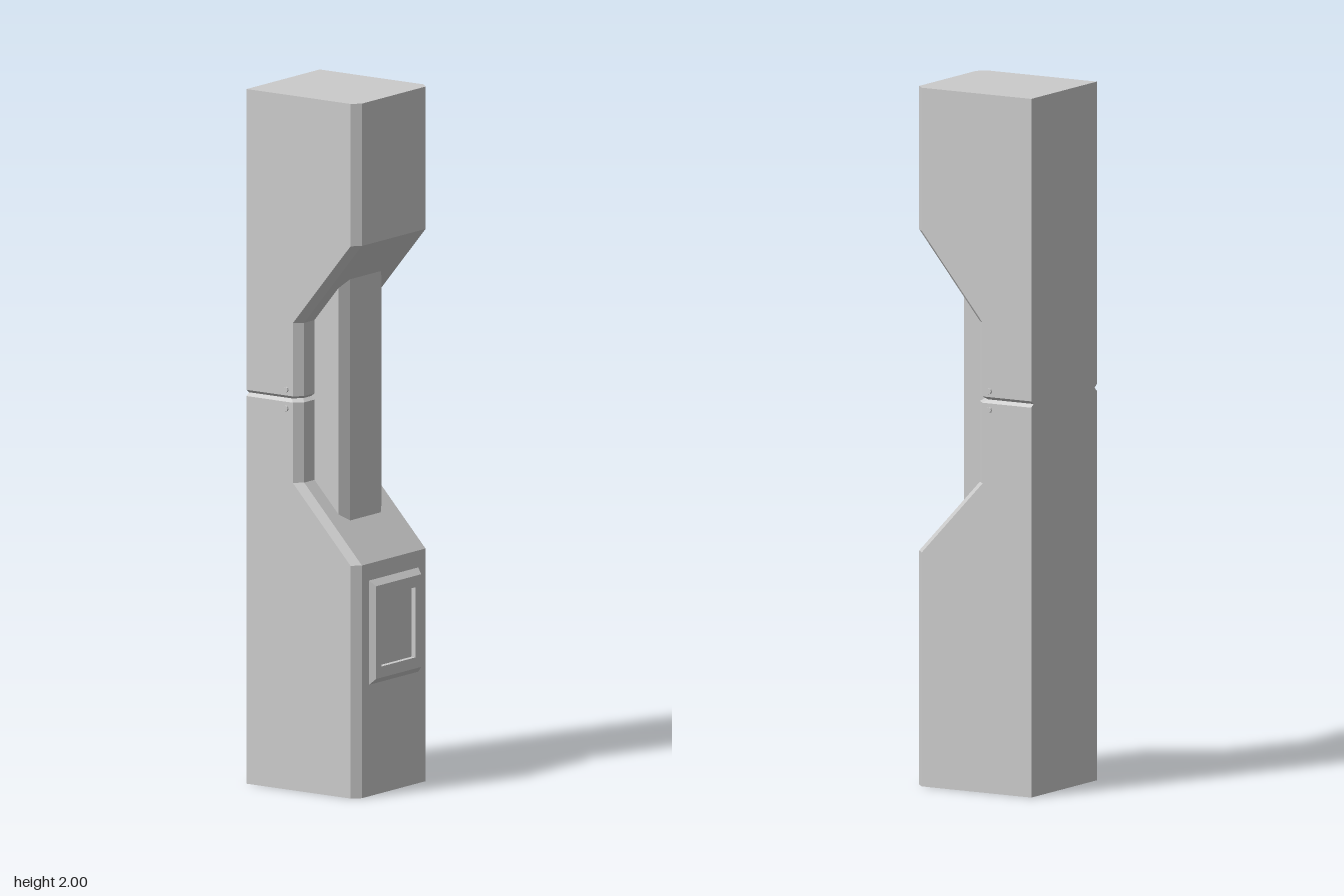
import * as THREE from 'three';

const material = new THREE.MeshStandardMaterial({ color: 0xcccccc, flatShading: true });

// Skins a stack of equal-length rings (counter-clockwise seen from the last ring) and caps both ends.
function loft(rings) {
  const pos = [];
  const tri = (a, b, c) => pos.push(...a, ...b, ...c);
  const n = rings[0].length;
  for (let r = 0; r < rings.length - 1; r++) {
    const lo = rings[r], hi = rings[r + 1];
    for (let i = 0; i < n; i++) {
      const j = (i + 1) % n;
      tri(lo[i], lo[j], hi[j]);
      tri(lo[i], hi[j], hi[i]);
    }
  }
  const first = rings[0], last = rings[rings.length - 1];
  for (let i = 1; i < n - 1; i++) {
    tri(first[0], first[i + 1], first[i]);
    tri(last[0], last[i], last[i + 1]);
  }
  const geo = new THREE.BufferGeometry();
  geo.setAttribute('position', new THREE.Float32BufferAttribute(pos, 3));
  geo.computeVertexNormals();
  return geo;
}

// Horizontal section: square back corners, chamfered front corners.
function section(y, halfW, back, front, chamferX, chamferZ) {
  return [
    [halfW, y, back], [-halfW, y, back],
    [-halfW, y, front - chamferZ], [-halfW + chamferX, y, front],
    [halfW - chamferX, y, front], [halfW, y, front - chamferZ],
  ];
}

function rectangle(halfW, y0, y1, z) {
  return [[-halfW, y0, z], [halfW, y0, z], [halfW, y1, z], [-halfW, y1, z]];
}

export function createModel() {
  const group = new THREE.Group();
  const add = (name, geo) => {
    const mesh = new THREE.Mesh(geo, material);
    mesh.name = name;
    group.add(mesh);
    return mesh;
  };

  // Column with a scooped front and a V groove round the sides and front: [y, front z, groove inset]
  const profile = [
    [0, 0.184, 0], [0.67, 0.184, 0], [0.885, -0.018, 0],
    [1.116, -0.018, 0], [1.125, -0.018, 0.012], [1.134, -0.018, 0],
    [1.345, -0.018, 0], [1.59, 0.184, 0], [2, 0.184, 0],
  ];
  add('column', loft(profile.map(([y, front, inset]) =>
    section(y, 0.175 - inset, -0.203, front - inset, 0.023, 0.023))));

  // Grip bridging the scoop, its ends buried in the slopes
  add('grip', loft([0.72, 1.53].map((y) => section(y, 0.103, -0.1, 0.085, 0.03, 0.019))));

  // Bevelled front panel with a sunken centre
  add('frontPanel', loft([
    rectangle(0.12, 0.317, 0.625, 0.18),
    rectangle(0.108, 0.338, 0.605, 0.201),
    rectangle(0.082, 0.37, 0.572, 0.201),
    rectangle(0.082, 0.37, 0.572, 0.186),
  ]));

  // Small studs above and below the groove on both sides
  for (const side of [-1, 1]) {
    for (const y of [1.097, 1.151]) {
      const stud = add(side > 0 ? 'leftStud' : 'rightStud',
        new THREE.CylinderGeometry(0.008, 0.01, 0.016, 8));
      stud.rotation.z = -side * Math.PI / 2;
      stud.position.set(side * 0.172, y, -0.064);
    }
  }

  return group;
}
